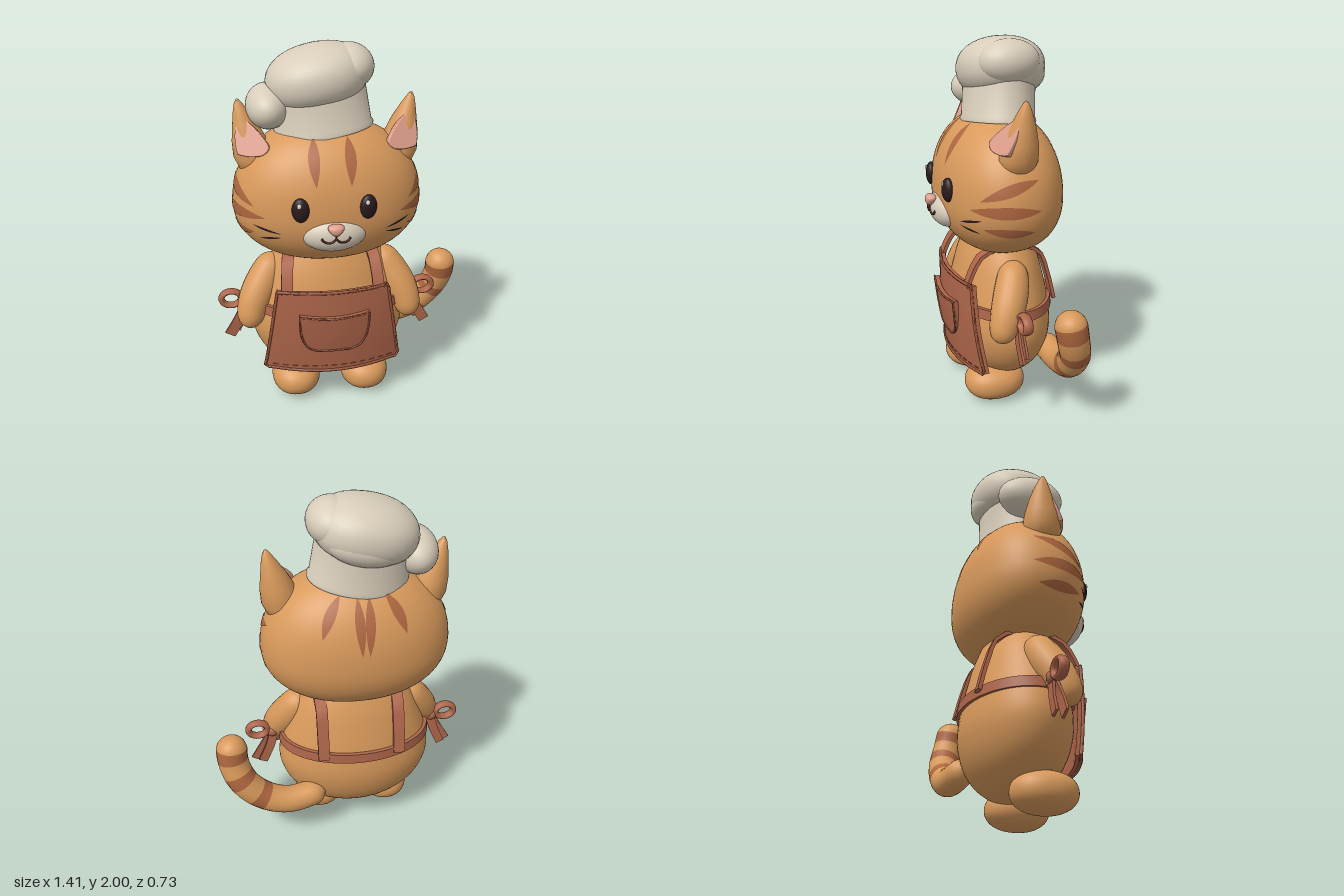
import * as THREE from 'three';
import { mergeVertices, toCreasedNormals } from 'three/addons/utils/BufferGeometryUtils.js';

const V = (x, y, z) => new THREE.Vector3(x, y, z);
const paint = (name, color, double) => {
  const m = new THREE.MeshStandardMaterial({ color });
  m.name = name;
  if (double) m.side = THREE.DoubleSide;
  return m;
};

export function createModel() {
  const fur = paint('fur', 0xd8995b), stripe = paint('stripe', 0xad663f, true);
  const cloth = paint('apron cloth', 0xad654a), trim = paint('apron trim', 0x98543b);
  const cream = paint('cream', 0xd8cdba), pink = paint('pink', 0xe0a08c);
  const dark = paint('eye dark', 0x2a1a1c, true), brown = paint('mouth brown', 0x5a2a20);
  const white = paint('highlight white', 0xf4efe8);

  const root = new THREE.Group();
  const cat = new THREE.Group();
  cat.name = 'cat';
  cat.position.x = -0.09; // the tail sticks out on one side
  root.add(cat);
  const add = (name, geo, mat, x = 0, y = 0, z = 0) => {
    const m = new THREE.Mesh(geo, mat);
    m.name = name;
    m.position.set(x, y, z);
    cat.add(m);
    return m;
  };

  // Rounded ellipsoid; e above 2 makes it fuller, up and down are separate heights
  const fit = (d, rx, up, down, rz, e) => 1 / Math.pow(
    Math.abs(d.x / rx) ** e + Math.abs(d.y / (d.y > 0 ? up : down)) ** e + Math.abs(d.z / rz) ** e, 1 / e);
  const blob = (rx, up, rz, e = 2, down = up, seg = 36) => {
    let g = new THREE.SphereGeometry(1, seg, Math.round(seg * 0.7));
    g.deleteAttribute('uv');
    g.deleteAttribute('normal');
    g = mergeVertices(g);
    const p = g.attributes.position, v = V();
    for (let i = 0; i < p.count; i++) {
      v.fromBufferAttribute(p, i);
      v.set(v.x * rx, v.y * (v.y > 0 ? up : down), v.z * rz);
      v.multiplyScalar(fit(v, rx, up, down, rz, e));
      p.setXYZ(i, v.x, v.y, v.z);
    }
    g.computeVertexNormals();
    return g;
  };

  // Closed rings joined into a solid with end caps
  const loft = (rings) => {
    const n = rings[0].length, pos = [], idx = [];
    rings.forEach(r => r.forEach(p => pos.push(p.x, p.y, p.z)));
    for (let i = 0; i < rings.length - 1; i++) for (let j = 0; j < n; j++) {
      const a = i * n + j, b = i * n + (j + 1) % n;
      idx.push(a, b, b + n, a, b + n, a + n);
    }
    const last = (rings.length - 1) * n;
    for (let j = 1; j < n - 1; j++) idx.push(0, j + 1, j, last, last + j, last + j + 1);
    const g = new THREE.BufferGeometry();
    g.setAttribute('position', new THREE.Float32BufferAttribute(pos, 3));
    g.setIndex(idx);
    return toCreasedNormals(g, 0.9);
  };

  // Sweep along a path: half sizes a (towards ref) and b, as functions of t
  const sweep = (pts, a, b, { ref = V(0, 0, 1), sides = 20, steps = 24, t0 = 0, t1 = 1 } = {}) => {
    const c = new THREE.CatmullRomCurve3(pts), rings = [];
    const k = sides === 4 ? Math.SQRT2 : 1, ph = sides === 4 ? Math.PI / 4 : 0;
    for (let i = 0; i <= steps; i++) {
      const t = t0 + (t1 - t0) * (1 - Math.cos(Math.PI * i / steps)) / 2;
      const o = c.getPointAt(t), T = c.getTangentAt(t);
      const N = ref.clone().addScaledVector(T, -ref.dot(T)).normalize(), B = T.clone().cross(N);
      rings.push(Array.from({ length: sides }, (_, j) => {
        const q = ph + j / sides * Math.PI * 2;
        return o.clone().addScaledVector(N, Math.cos(q) * a(t) * k).addScaledVector(B, Math.sin(q) * b(t) * k);
      }));
    }
    return loft(rings);
  };
  const ribbon = (pts, w, th, ref) => sweep(pts, () => w / 2, () => th / 2, { ref, sides: 4, steps: 20 });
  const cord = (pts, r, steps = 20) => sweep(pts, () => r, () => r, { sides: 8, steps });
  // Radius with rounded ends for a limb of given length
  const limb = (r, len) => t => {
    const R = r(t), d = Math.min(t, 1 - t) * len;
    return d < R ? R * Math.sqrt(Math.max(0, 1 - (1 - d / R) ** 2)) + 1e-4 : R;
  };

  // Body
  const profile = [[0, 0.1], [0.15, 0.12], [0.29, 0.19], [0.385, 0.29], [0.432, 0.42], [0.42, 0.55],
    [0.375, 0.7], [0.31, 0.85], [0.2, 0.98], [0, 1]].map(([r, y]) => new THREE.Vector2(r, y));
  const body = add('body', new THREE.LatheGeometry(new THREE.SplineCurve(profile).getPoints(40), 56), fur, 0, 0, -0.04);
  body.scale.z = 0.64;

  // Head and markings that follow its surface
  const H = [0.505, 0.44, 0.33, 0.335, 2.15], hc = V(0, 1.18, -0.03);
  add('head', blob(H[0], H[1], H[3], H[4], H[2], 72), fur, hc.x, hc.y, hc.z);
  const leaf = (name, A, B, w, mat) => {
    const pos = [], idx = [], n = 18, m = 4, along = B.clone().sub(A);
    for (let i = 0; i <= n; i++) {
      const t = i / n, d = A.clone().lerp(B, t).sub(hc);
      d.multiplyScalar(fit(d, ...H));
      const side = d.clone().cross(along).normalize();
      for (let j = 0; j <= m; j++) {
        const p = d.clone().addScaledVector(side, (j / m - 0.5) * w * Math.sin(Math.PI * t));
        p.multiplyScalar(fit(p, ...H) * 1.006).add(hc);
        pos.push(p.x, p.y, p.z);
        if (i < n && j < m) {
          const a = i * (m + 1) + j, b = a + m + 1;
          idx.push(a, a + 1, b, a + 1, b + 1, b);
        }
      }
    }
    const g = new THREE.BufferGeometry();
    g.setAttribute('position', new THREE.Float32BufferAttribute(pos, 3));
    g.setIndex(idx);
    g.computeVertexNormals();
    add(name, g, mat);
  };
  for (const x of [-0.03, 0.03]) leaf('backStripe', V(x * 0.6, 1.27, -0.36), V(x, 1.56, -0.24), 0.05, stripe);

  // Apron panels: a curved sheet with a raised rim
  const apronZ = (x, y) => {
    const v = (y - 0.235) / 0.505;
    return 0.236 + 0.017 * v + 0.012 * Math.sin(Math.PI * v) - 0.6 * x * x;
  };
  const panel = (name, half, yOf, off, th, rim) => {
    const at = (u, v) => {
      const x = u * half(v), y = yOf(u, v);
      return V(x, y, apronZ(x, y) + off(v));
    };
    const g = new THREE.BoxGeometry(2, 1, th, 24, 16, 1), p = g.attributes.position;
    for (let i = 0; i < p.count; i++) {
      const q = at(p.getX(i), p.getY(i) + 0.5);
      p.setXYZ(i, q.x, q.y, q.z + p.getZ(i) - th / 2);
    }
    g.deleteAttribute('uv');
    g.deleteAttribute('normal');
    add(name, toCreasedNormals(g, 0.9), cloth);
    const edge = [], n = 12;
    for (let i = 0; i < n; i++) edge.push(at(-1, 1 - i / n));
    for (let i = 0; i < n; i++) edge.push(at(-1 + 2 * i / n, 0));
    for (let i = 0; i < n; i++) edge.push(at(1, i / n));
    for (let i = 0; i <= n; i++) edge.push(at(1 - 2 * i / n, 1));
    add(name + 'Rim', cord(edge, rim, 110), trim);
  };
  panel('apron', v => 0.38 - 0.078 * v, (u, v) => 0.235 + 0.505 * v + 0.012 * u * u * (1 - v), () => 0.01, 0.03, 0.009);
  panel('pocket', v => 0.09 + 0.1 * (1 - (1 - v) ** 3) ** 0.5,
    (u, v) => 0.38 + 0.22 * v + 0.015 * u * u * v, v => 0.018 + 0.026 * v, 0.03, 0.006);
  for (let i = -6; i <= 6; i++) {
    const x = i * 0.054;
    add('hemStitch', new THREE.BoxGeometry(0.032, 0.005, 0.006), trim, x, 0.268, apronZ(x, 0.268) + 0.011)
      .rotation.y = Math.atan(1.2 * x);
  }

  // Belt round the waist
  const belt = new THREE.LatheGeometry([[0.39, 0.55], [0.432, 0.55], [0.425, 0.605], [0.39, 0.605]]
    .map(([r, y]) => new THREE.Vector2(r, y)), 56);
  add('belt', toCreasedNormals(belt, 0.9), cloth, 0, 0, -0.04).scale.z = 0.66;

  // Parts that come in pairs
  for (const s of [-1, 1]) {
    add('foot', blob(0.138, 0.105, 0.17, 2.2), fur, s * 0.2, 0.105, 0.043);

    const armR = limb(t => 0.07 + 0.024 * Math.sin(Math.PI * Math.min(1, t * 1.1)), 0.45);
    add('arm', sweep([V(s * 0.28, 0.85, -0.04), V(s * 0.36, 0.72, 0), V(s * 0.425, 0.6, 0.05), V(s * 0.46, 0.465, 0.1)],
      armR, armR), fur);

    // Ear: leaning round sections, with a pink inside
    const ear = [[1.34, 0.36, -0.02, 0.06], [1.38, 0.368, -0.02, 0.092], [1.44, 0.382, -0.02, 0.104],
      [1.52, 0.398, -0.026, 0.092], [1.6, 0.415, -0.032, 0.068], [1.67, 0.434, -0.035, 0.042],
      [1.715, 0.446, -0.035, 0.022], [1.736, 0.45, -0.035, 0.009], [1.742, 0.451, -0.035, 0.001]];
    add('ear', loft(ear.map(([y, x, z, r]) => Array.from({ length: 28 }, (_, j) => {
      const q = j / 28 * Math.PI * 2;
      return V(s * x + r * Math.sin(q), y, z + r * Math.cos(q));
    }))), fur);
    const tri = new THREE.Shape();
    tri.moveTo(s * 0.055, 0.1);
    tri.quadraticCurveTo(s * 0.09, 0, s * 0.068, -0.085);
    tri.quadraticCurveTo(s * 0.01, -0.11, s * -0.055, -0.1);
    tri.quadraticCurveTo(s * -0.1, -0.08, s * -0.08, -0.05);
    tri.quadraticCurveTo(s * -0.02, 0.05, s * 0.055, 0.1);
    const inner = add('innerEar', new THREE.ExtrudeGeometry(tri, { depth: 0.025, bevelSize: 0.006,
      bevelThickness: 0.006, bevelSegments: 3, curveSegments: 10 }), pink, s * 0.388, 1.56, 0.026);
    inner.rotation.set(-0.42, s * 0.3, 0);

    // Face
    add('eye', blob(0.045, 0.065, 0.03), dark, s * 0.173, 1.245, 0.288).rotation.y = s * 0.25;
    add('eyeHighlight', blob(0.011, 0.014, 0.006, 2, 0.014, 12), white, s * 0.173 - 0.008, 1.278, 0.314);

    // Markings
    leaf('foreheadStripe', V(s * 0.088, 1.355, 0.28), V(s * 0.085, 1.57, 0.13), 0.058, stripe);
    leaf('cheekStripe', V(s * 0.39, 1.235, 0.18), V(s * 0.47, 1.345, -0.1), 0.06, stripe);
    leaf('cheekStripe', V(s * 0.34, 1.185, 0.22), V(s * 0.5, 1.19, -0.11), 0.065, stripe);
    leaf('cheekStripe', V(s * 0.4, 1.09, 0.17), V(s * 0.49, 1.075, -0.08), 0.055, stripe);
    leaf('backStripe', V(s * 0.21, 1.36, -0.31), V(s * 0.11, 1.55, -0.21), 0.055, stripe);
    leaf('whisker', V(s * 0.265, 1.105, 0.25), V(s * 0.4, 1.14, 0.17), 0.014, dark);
    leaf('whisker', V(s * 0.265, 1.083, 0.25), V(s * 0.385, 1.06, 0.18), 0.014, dark);

    // Shoulder strap
    add('strap', ribbon([V(s * 0.25, 0.72, apronZ(0.25, 0.72)), V(s * 0.245, 0.8, 0.185), V(s * 0.235, 0.88, 0.13),
      V(s * 0.22, 0.92, -0.03), V(s * 0.21, 0.87, -0.2), V(s * 0.21, 0.74, -0.255), V(s * 0.21, 0.575, -0.297)],
    0.062, 0.02, V(1, 0, 0)), cloth);

    // Side bow
    add('bowKnot', blob(0.035, 0.035, 0.035), cloth, s * 0.465, 0.585, -0.005);
    add('bowTie', ribbon([V(s * 0.39, 0.58, -0.03), V(s * 0.47, 0.582, -0.008)], 0.05, 0.02, V(0, 1, 0)), cloth);
    add('bowLoop', new THREE.TorusGeometry(0.052, 0.017, 10, 32), cloth, s * 0.548, 0.602, -0.005).scale.set(1.05, 0.85, 1.6);
    add('bowString', ribbon([V(s * 0.455, 0.59, 0), V(s * 0.5, 0.49, 0.012), V(s * 0.566, 0.375, 0.01)],
      0.062, 0.014, V(1, 0.5, 0)), cloth);
    add('bowString', ribbon([V(s * 0.455, 0.59, -0.01), V(s * 0.485, 0.49, -0.02), V(s * 0.53, 0.385, -0.025)],
      0.05, 0.014, V(1, 0.4, 0)), cloth);
  }

  // Muzzle, nose and mouth
  add('muzzle', blob(0.172, 0.1, 0.095), cream, 0, 1.095, 0.248);
  const nose = blob(0.05, 0.028, 0.032, 2.2, 0.034), np = nose.attributes.position;
  for (let i = 0; i < np.count; i++) np.setX(i, np.getX(i) * (0.8 + np.getY(i) * 9));
  nose.computeVertexNormals();
  add('nose', nose, pink, 0, 1.15, 0.337);
  const lip = (x, y) => V(x, y, 0.25 + 0.095 * Math.sqrt(Math.max(0, 1 - (x / 0.172) ** 2 - ((y - 1.095) / 0.1) ** 2)));
  for (const s of [-1, 1]) {
    add('mouth', cord([[0, 1.1], [0.018, 1.083], [0.042, 1.078], [0.064, 1.087], [0.074, 1.102]]
      .map(([x, y]) => lip(s * x, y)), 0.006), brown);
  }
  add('mouthLine', cord([lip(0, 1.13), lip(0, 1.112), lip(0, 1.096)], 0.006), brown);

  // Tail with bands
  const tail = [V(0.2, 0.31, -0.235), V(0.41, 0.286, -0.265), V(0.55, 0.335, -0.26), V(0.655, 0.44, -0.245),
    V(0.702, 0.56, -0.21), V(0.702, 0.715, -0.18)];
  const tailR = limb(t => 0.073 + 0.014 * t, 0.8);
  const cuts = [0, 0.43, 0.52, 0.635, 0.715, 0.82, 0.91, 1];
  for (let i = 0; i < 7; i++) {
    add(i % 2 ? 'tailBand' : 'tail', sweep(tail, tailR, tailR, { t0: cuts[i], t1: cuts[i + 1], steps: 16 }), i % 2 ? stripe : fur);
  }

  // Tilted hat: band and puffs
  const band = new THREE.LatheGeometry([[0, 0], [0.245, 0], [0.265, 0], [0.267, 0.012], [0.258, 0.03], [0.25, 0.27], [0, 0.27]]
    .map(([r, y]) => new THREE.Vector2(r, y)), 56);
  const hat = add('hatBand', toCreasedNormals(band, 0.7), cream, -0.01, 1.55, -0.047);
  hat.scale.z = 0.74;
  hat.rotation.set(-0.07, 0, 0.13);
  add('hatPuff', blob(0.268, 0.165, 0.23, 2.2), cream, -0.04, 1.832, -0.07).rotation.z = 0.2;
  add('hatPuffLeft', blob(0.127, 0.116, 0.165), cream, 0.128, 1.884, -0.06);
  add('hatPuffRight', blob(0.115, 0.115, 0.178), cream, -0.297, 1.695, -0.05);
  add('hatPuffBack', blob(0.2, 0.1, 0.12), cream, -0.02, 1.79, -0.175).rotation.z = 0.2;

  return root;
}
